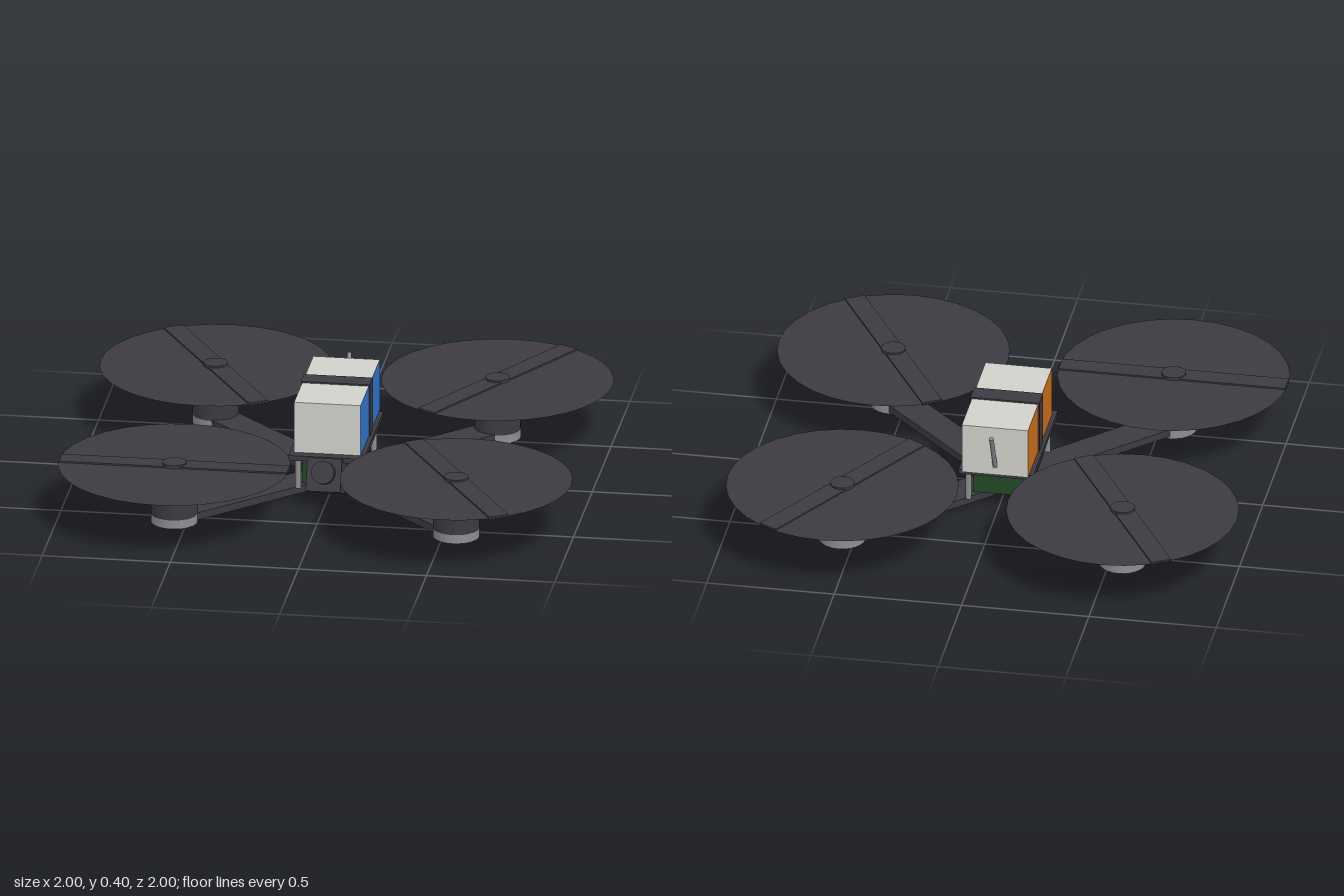
import * as THREE from 'three';

const mat = (name, color, extra = {}) => {
  const m = new THREE.MeshStandardMaterial({ color, ...extra });
  m.name = name;
  return m;
};

export function createModel() {
  const model = new THREE.Group();
  model.name = 'quadcopter';

  const carbon = mat('carbon', 0x3d3b41);
  const carbonSheet = mat('carbonSheet', 0x3d3b41, { side: THREE.DoubleSide });
  const silver = mat('silver', 0x8e8e93);
  const green = mat('boardGreen', 0x234724);
  const white = mat('batteryWhite', 0xd2d2cb);
  const blue = mat('batteryBlue', 0x2f78d2);
  const orange = mat('batteryOrange', 0xcc7019);

  const add = (name, geo, material, x, y, z, parent = model) => {
    const mesh = new THREE.Mesh(geo, material);
    mesh.name = name;
    mesh.position.set(x, y, z);
    parent.add(mesh);
    return mesh;
  };
  const box = (w, h, d) => new THREE.BoxGeometry(w, h, d);
  const cyl = (r, h, n = 24) => new THREE.CylinderGeometry(r, r, h, n);

  // Crossed arms
  for (const s of [1, -1]) {
    add('arm', box(1.556, 0.03, 0.13), carbon, 0, 0.024, 0).rotation.y = s * Math.PI / 4;
  }

  // Motors and propellers: x sign, z sign, blade angle
  const rotors = [[1, 1, -60], [1, -1, 60], [-1, 1, 0], [-1, -1, -60]];
  for (const [sx, sz, angle] of rotors) {
    const rotor = new THREE.Group();
    rotor.name = 'rotor';
    rotor.position.set(sx * 0.55, 0, sz * 0.55);
    model.add(rotor);
    add('motorBase', cyl(0.091, 0.036), silver, 0, 0.018, 0, rotor);
    add('motorBell', cyl(0.09, 0.13), carbon, 0, 0.101, 0, rotor);
    add('motorShaft', cyl(0.016, 0.07, 12), silver, 0, 0.195, 0, rotor);
    add('propellerHub', cyl(0.047, 0.026), carbon, 0, 0.232, 0, rotor);
    add('propellerDisc', new THREE.CircleGeometry(0.45, 32), carbonSheet, 0, 0.232, 0, rotor)
      .rotation.x = -Math.PI / 2;
    add('propellerBlade', box(0.89, 0.012, 0.08), carbon, 0, 0.232, 0, rotor)
      .rotation.y = THREE.MathUtils.degToRad(angle);
  }

  // Electronics stack, posts and top plate
  add('circuitBoard', box(0.215, 0.122, 0.335), green, 0, 0.1, 0.003);
  for (const x of [-0.117, 0.117]) {
    for (const z of [-0.21, 0.21]) add('standoff', cyl(0.012, 0.135, 12), silver, x, 0.102, z);
  }
  add('topPlate', box(0.294, 0.02, 0.53), carbon, 0, 0.177, 0.003);

  // Battery: blue on its left side, orange on its right, white elsewhere
  add('battery', box(0.26, 0.206, 0.51), [blue, orange, white, white, white, white], 0, 0.29, -0.026);
  add('batteryStrap', box(0.27, 0.214, 0.08), carbon, 0, 0.292, -0.026);

  // Camera tilted upward
  const camera = new THREE.Group();
  camera.name = 'camera';
  camera.position.set(0, 0.108, 0.26);
  camera.rotation.x = -0.4;
  model.add(camera);
  add('cameraBody', box(0.135, 0.13, 0.14), carbon, 0, 0, 0, camera);
  add('cameraLens', cyl(0.045, 0.05), carbon, 0, 0.008, 0.085, camera).rotation.x = Math.PI / 2;

  // Rear antenna leaning backward
  add('antenna', cyl(0.009, 0.185, 10), silver, 0, 0.305, -0.318).rotation.x = -0.46;

  return model;
}
